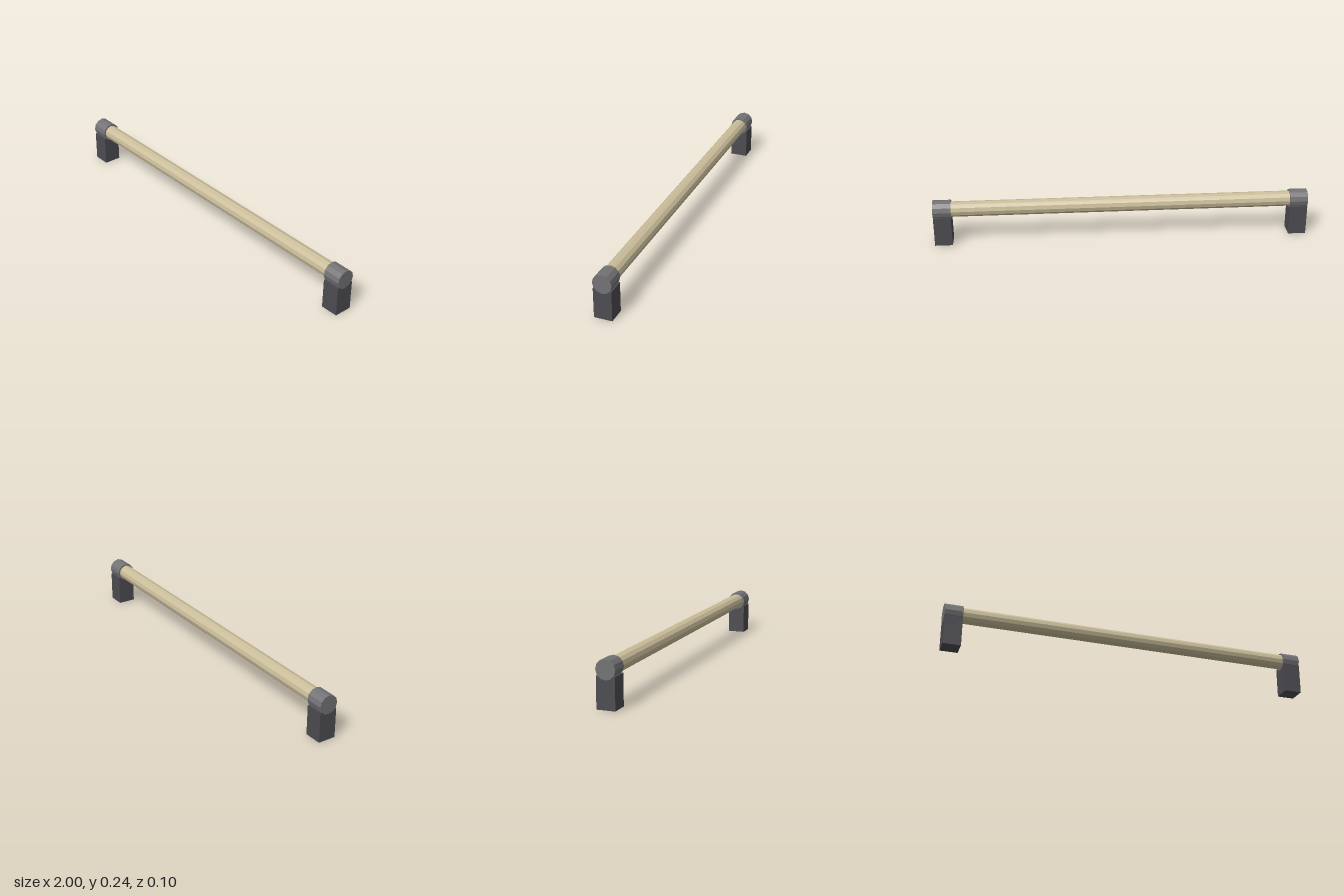
import * as THREE from 'three';

const mat = (name, color) => {
  const m = new THREE.MeshStandardMaterial({ color, flatShading: true });
  m.name = name;
  return m;
};

export function createModel() {
  const group = new THREE.Group();
  group.name = 'barHandle';
  const wood = mat('pale wood', 0xcabd9a);
  const grey = mat('mid grey', 0x737375);
  const dark = mat('dark grey', 0x4d4c51);
  const axisY = 0.191;

  const add = (name, geometry, material, x, y) => {
    const mesh = new THREE.Mesh(geometry, material);
    mesh.name = name;
    mesh.position.set(x, y, 0);
    group.add(mesh);
  };
  // Twelve-sided cylinder lying along x
  const bar = (radius, length) =>
    new THREE.CylinderGeometry(radius, radius, length, 12).rotateZ(Math.PI / 2);

  // Long rod, running into both end caps
  add('rod', bar(0.041, 1.9), wood, 0, axisY);

  // End cap and standing post on each side
  for (const [side, s] of [['left', 1], ['right', -1]]) {
    add(side + 'Cap', bar(0.05, 0.096), grey, s * 0.952, axisY);
    add(side + 'Post', new THREE.BoxGeometry(0.094, 0.16, 0.095), dark, s * 0.952, 0.08);
  }
  return group;
}
